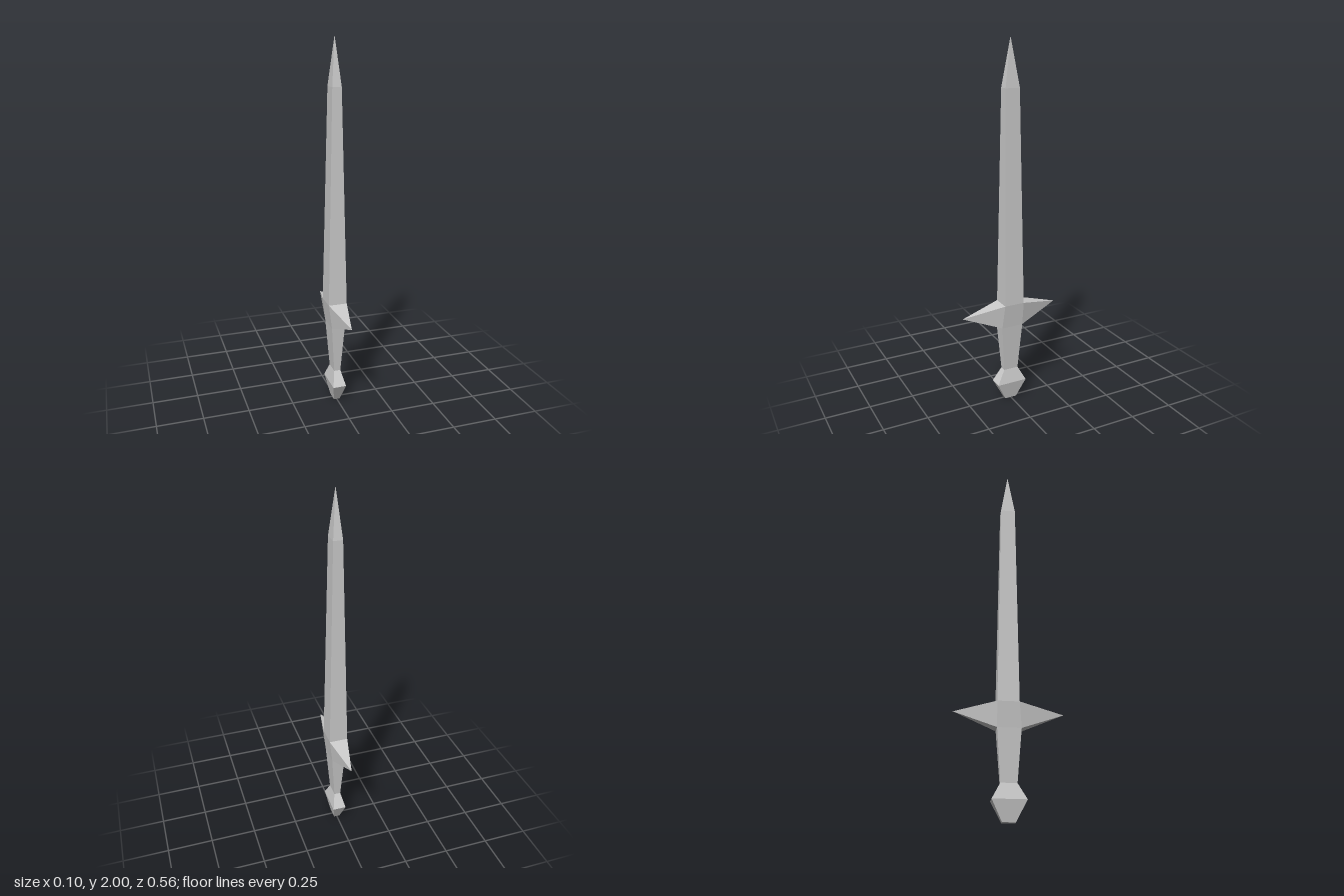
import * as THREE from 'three';

// Four-sided cross-sections: [y, half width in x, front z, back z]
const POMMEL_END = [0, 0.017, 0.034, -0.033];
const POMMEL_WIDE = [0.105, 0.037, 0.088, -0.085];
const GRIP_BOTTOM = [0.185, 0.018, 0.042, -0.042];
const GUARD_BOTTOM = [0.455, 0.037, 0.062, -0.061];
const GUARD_TOP = [0.588, 0.051, 0.051, -0.062];
const SHOULDER = [1.75, 0.025, 0.034, -0.046];
const BLADE_TIP = [2, 0, -0.006, -0.006];

// Corners run counter-clockwise seen from above
const ring = ([y, x, front, back]) => [
  [x, y, front], [x, y, back], [-x, y, back], [-x, y, front],
];

// The four corners of one side between two rings, facing outward
const sideQuad = (low, high, i) => {
  const j = (i + 1) % 4;
  return [low[i], low[j], high[j], high[i]];
};

const quad = ([a, b, c, d]) => [a, b, c, a, c, d];

// Four triangles rising from a quad to a point
const spike = (corners, tip) =>
  corners.flatMap((p, i) => [p, corners[(i + 1) % 4], tip]);

// Walls between successive sections; a section of zero width closes to a point
function loft(sections) {
  const points = [];
  for (let s = 0; s < sections.length - 1; s++) {
    const low = ring(sections[s]);
    const high = ring(sections[s + 1]);
    for (let i = 0; i < 4; i++) {
      const corners = sideQuad(low, high, i);
      points.push(...(sections[s + 1][1] === 0 ? corners.slice(0, 3) : quad(corners)));
    }
  }
  return points;
}

function createModel() {
  const sword = new THREE.Group();
  sword.name = 'sword';
  const material = new THREE.MeshStandardMaterial({ color: 0xcccccc, flatShading: true });

  const addPart = (name, points) => {
    const geometry = new THREE.BufferGeometry();
    geometry.setAttribute('position', new THREE.Float32BufferAttribute(points.flat(), 3));
    geometry.computeVertexNormals();
    const mesh = new THREE.Mesh(geometry, material);
    mesh.name = name;
    sword.add(mesh);
  };

  // Tapering blade with a pointed end
  addPart('blade', loft([GUARD_TOP, SHOULDER, BLADE_TIP]));

  // Crossguard: flat cheeks on the x sides, a spike to the front and back
  const low = ring(GUARD_BOTTOM);
  const high = ring(GUARD_TOP);
  addPart('crossguard', [
    ...quad(sideQuad(low, high, 0)),
    ...quad(sideQuad(low, high, 2)),
    ...spike(sideQuad(low, high, 1), [0, 0.54, -0.282]),
    ...spike(sideQuad(low, high, 3), [0, 0.54, 0.282]),
  ]);

  // Grip narrowing toward the pommel
  addPart('grip', loft([GRIP_BOTTOM, GUARD_BOTTOM]));

  // Faceted pommel with a flat end
  addPart('pommel', [
    ...loft([POMMEL_END, POMMEL_WIDE, GRIP_BOTTOM]),
    ...quad(ring(POMMEL_END).reverse()),
  ]);

  return sword;
}

export { createModel };
